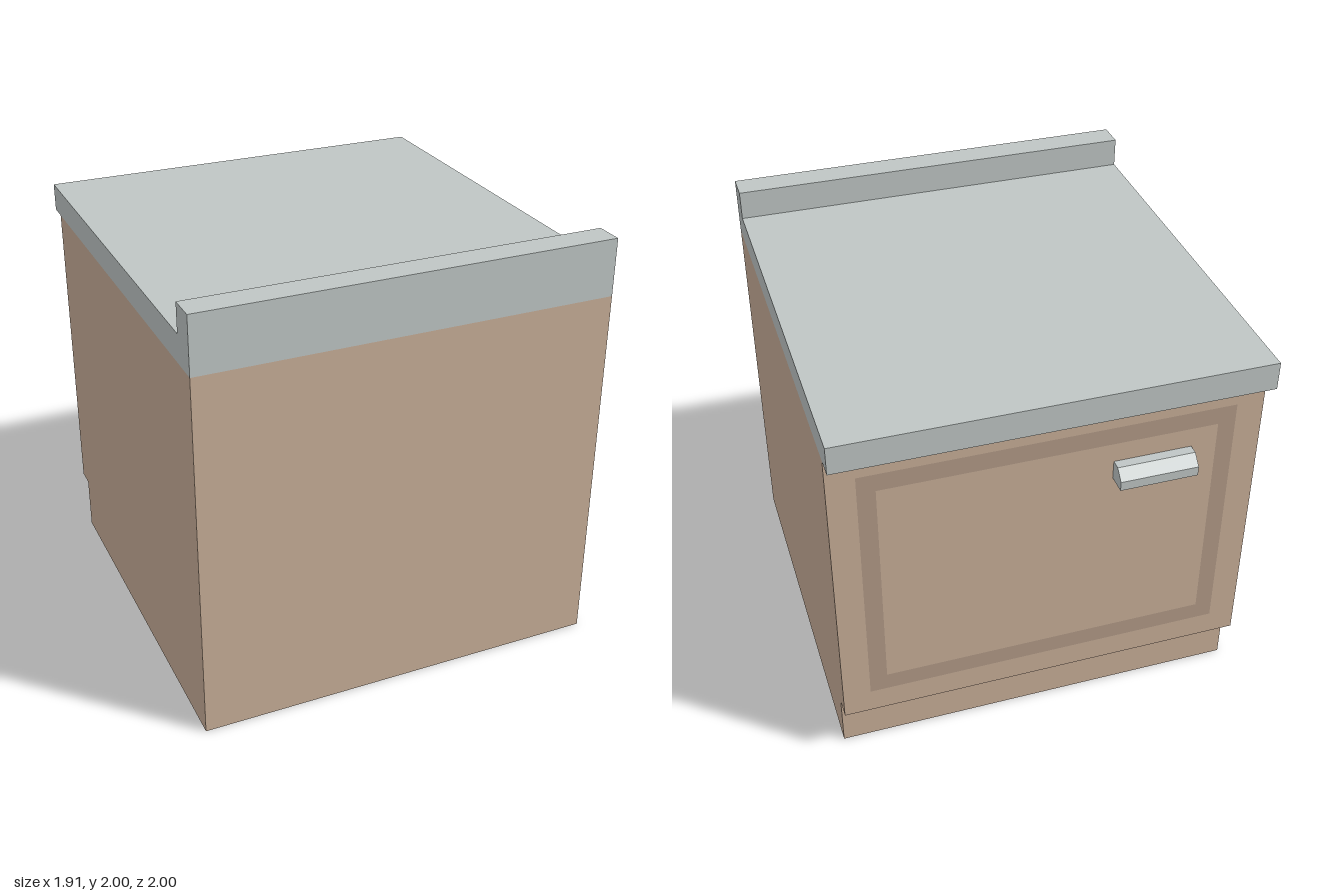
import * as THREE from 'three';

const HALF = 0.955; // half width of the cabinet
const mat = (color) => new THREE.MeshStandardMaterial({ color, flatShading: true });

// Extrudes a side profile of [z, y] points along x, from x0 to x1.
function profileMesh(name, points, x0, x1, material) {
  const shape = new THREE.Shape(points.map(([z, y]) => new THREE.Vector2(z, y)));
  const geo = new THREE.ExtrudeGeometry(shape, { depth: x1 - x0, bevelEnabled: false });
  geo.rotateY(-Math.PI / 2);
  geo.translate(x1, 0, 0);
  const mesh = new THREE.Mesh(geo, material);
  mesh.name = name;
  return mesh;
}

// Rectangle outline, usable as a shape or a hole.
function rect(Type, x, y0, y1) {
  const p = new Type();
  p.moveTo(-x, y0).lineTo(x, y0).lineTo(x, y1).lineTo(-x, y1).closePath();
  return p;
}

export function createModel() {
  const group = new THREE.Group();
  group.name = 'kitchenCabinet';
  const wood = mat(0xc8ae98);
  const trim = mat(0xb29a87);
  const metal = mat(0xbfc6c5);

  // Body with a recessed toe kick under the door
  group.add(profileMesh('cabinetBody', [
    [1, 0], [1, 1.735], [-0.91, 1.735], [-0.91, 0.26], [-0.82, 0.26], [-0.82, 0],
  ], -HALF, HALF, wood));

  // Overhanging worktop with a raised backsplash
  group.add(profileMesh('worktop', [
    [1, 1.735], [1, 2], [0.87, 2], [0.87, 1.865], [-1, 1.865], [-1, 1.735],
  ], -HALF, HALF, metal));

  // Flat darker border on the door
  const border = rect(THREE.Shape, 0.83, 0.38, 1.62);
  border.holes.push(rect(THREE.Path, 0.75, 0.465, 1.535));
  const doorTrim = new THREE.Mesh(new THREE.ShapeGeometry(border), trim);
  doorTrim.name = 'doorTrim';
  doorTrim.rotation.y = Math.PI;
  doorTrim.position.z = -0.912;
  group.add(doorTrim);

  // Handle with a chamfered top edge
  group.add(profileMesh('doorHandle', [
    [-0.91, 1.35], [-0.91, 1.44], [-0.955, 1.44], [-1, 1.395], [-1, 1.35],
  ], -0.635, -0.28, metal));

  return group;
}
